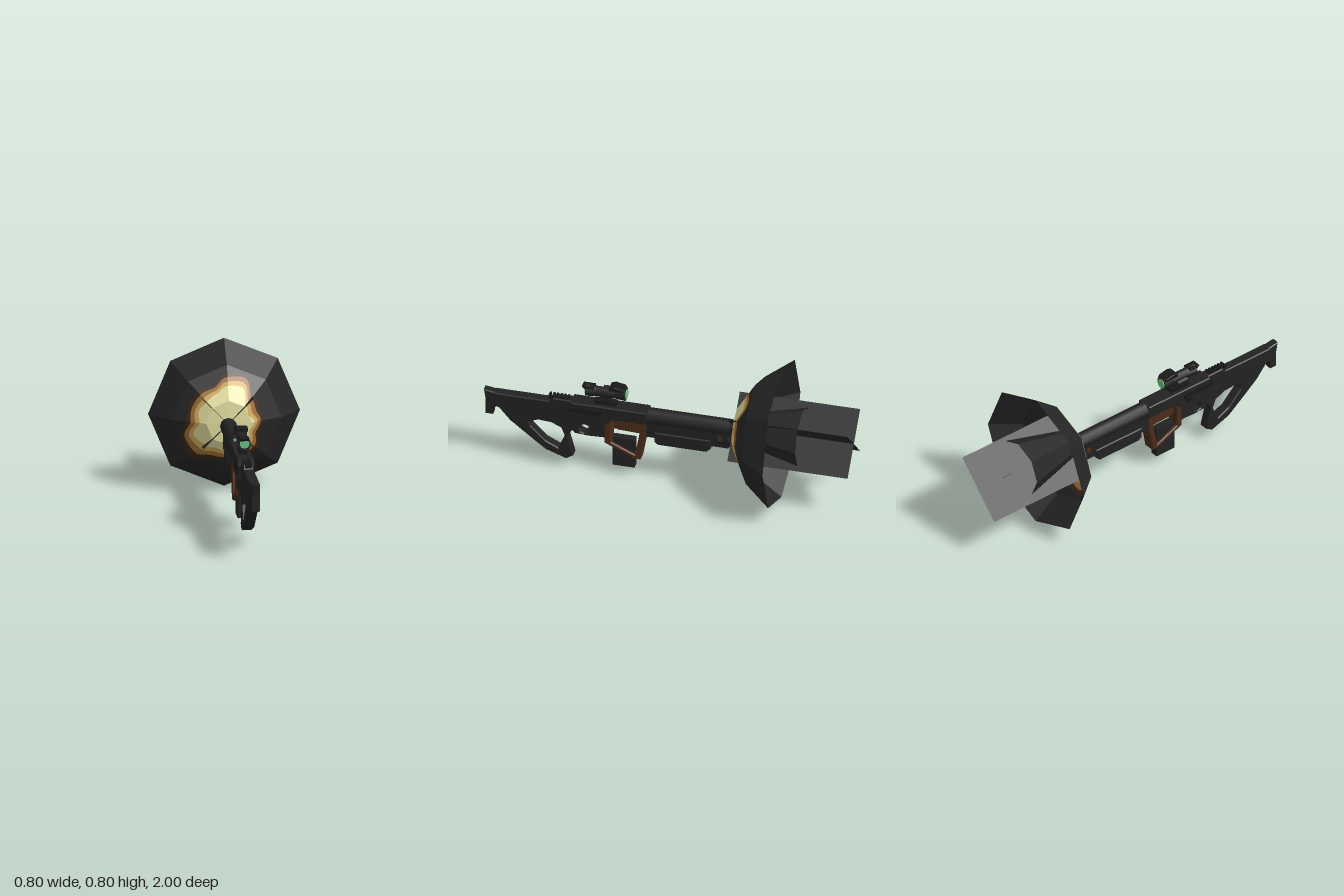
import * as THREE from 'three';

const mat = (name, color, double = false) => {
  const m = new THREE.MeshStandardMaterial({ color });
  m.name = name;
  if (double) m.side = THREE.DoubleSide;
  return m;
};

export function createModel() {
  const M = {
    gun: mat('gunBlack', 0x222222),
    steel: mat('darkSteel', 0x191919),
    wood: mat('darkWood', 0x4a2c1a),
    lens: mat('greenLens', 0x6cc080),
    smoke: mat('flashDark', 0x262626, true),
    ember: mat('flashEmber', 0x3d2816, true),
    brown: mat('flashBrown', 0xa0703a, true),
    gold: mat('flashGold', 0xd2ac5c, true),
    pale: mat('flashPale', 0xe2dea0, true),
  };
  const model = new THREE.Group();
  const gun = new THREE.Group();
  gun.name = 'rifle';
  gun.position.x = -0.006;
  const flash = new THREE.Group();
  flash.name = 'muzzleFlash';
  model.add(gun, flash);

  const add = (parent, name, geo, material) => {
    const mesh = new THREE.Mesh(geo, material);
    mesh.name = name;
    parent.add(mesh);
    return mesh;
  };
  // Box given by its z and y ranges, width and x offset
  const box = (name, z0, z1, y0, y1, w, m = M.gun, x = 0) =>
    add(gun, name, new THREE.BoxGeometry(w, y1 - y0, z1 - z0), m)
      .position.set(x, (y0 + y1) / 2, (z0 + z1) / 2);
  // Side profile in (z, y), extruded across x with a small bevel
  const side = (name, pts, w, m = M.gun, holes = [], b = 0.005) => {
    const vec = (l) => l.map(([z, y]) => new THREE.Vector2(z, y));
    const shape = new THREE.Shape(vec(pts));
    holes.forEach((h) => shape.holes.push(new THREE.Path(vec(h))));
    const geo = new THREE.ExtrudeGeometry(shape, {
      depth: w - 2 * b, bevelEnabled: b > 0, bevelSize: b, bevelThickness: b,
      bevelOffset: -b, bevelSegments: 1,
    });
    geo.translate(0, 0, -(w - 2 * b) / 2).rotateY(-Math.PI / 2);
    return add(gun, name, geo, m);
  };
  // Cylinder along z
  const rod = (name, z0, z1, y, r0, r1, n, m = M.gun, x = 0) => {
    const geo = new THREE.CylinderGeometry(r1, r0, z1 - z0, n).rotateX(Math.PI / 2);
    add(gun, name, geo, m).position.set(x, y, (z0 + z1) / 2);
  };

  // Stock with skeleton opening and pistol grip
  side('stock', [
    [0.94, 0.41], [0.64, 0.41], [0.62, 0.43], [0.5, 0.43], [0.47, 0.3], [0.52, 0.24], [0.54, 0.2],
    [0.51, 0.085], [0.55, 0.06], [0.66, 0.1], [0.75, 0.17], [0.85, 0.25], [0.91, 0.32], [0.94, 0.33],
  ], 0.056, M.gun, [[
    [0.75, 0.26], [0.74, 0.235], [0.66, 0.155], [0.59, 0.12], [0.555, 0.2], [0.575, 0.25], [0.63, 0.275], [0.7, 0.28],
  ]]);
  side('buttPlate', [
    [0.995, 0.42], [0.93, 0.41], [0.92, 0.33], [0.94, 0.31], [0.945, 0.27], [0.985, 0.27], [0.985, 0.36],
  ], 0.046);

  // Receiver and trigger guard
  side('receiver', [
    [0.53, 0.38], [0.52, 0.43], [0.11, 0.43], [0.11, 0.355], [0.3, 0.355], [0.32, 0.33], [0.53, 0.33],
  ], 0.09);
  const ring = [];
  for (let i = 0; i < 8; i++) {
    const a = (i / 8) * Math.PI * 2;
    ring.push([0.45 + 0.03 * Math.cos(a), 0.265 + 0.028 * Math.sin(a)]);
  }
  side('triggerGuard', [
    [0.53, 0.34], [0.31, 0.34], [0.31, 0.23], [0.43, 0.225], [0.5, 0.23], [0.53, 0.26],
  ], 0.06, M.gun, [ring]);
  box('ejectionPort', 0.35, 0.54, 0.375, 0.4, 0.096, M.steel);
  for (let i = 0; i < 6; i++) box('railTooth', 0.535 + i * 0.02, 0.547 + i * 0.02, 0.42, 0.44, 0.035, M.steel);
  box('chargingArm', 0.345, 0.365, 0.382, 0.398, 0.04, M.steel, -0.06);
  box('chargingKnob', 0.34, 0.37, 0.38, 0.4, 0.015, M.steel, -0.08);

  // Wooden foregrip frame and magazine
  side('gripFrame', [
    [0.34, 0.355], [0.115, 0.355], [0.12, 0.27], [0.145, 0.125], [0.18, 0.125], [0.34, 0.2],
  ], 0.07, M.wood, [[[0.305, 0.345], [0.305, 0.21], [0.175, 0.15], [0.15, 0.29], [0.27, 0.295], [0.28, 0.345]]]);
  box('gripBlock', 0.12, 0.29, 0.295, 0.345, 0.05, M.wood);
  box('magazine', 0.18, 0.3, 0.06, 0.235, 0.04);

  // Barrel shroud and handguard
  rod('barrelShroud', -0.34, 0.11, 0.392, 0.044, 0.044, 12);
  rod('muzzleBore', -0.345, -0.33, 0.392, 0.03, 0.03, 12, M.steel);
  box('lowerShroud', -0.33, 0.12, 0.275, 0.36, 0.06);
  rod('underBarrel', -0.335, 0.1, 0.305, 0.032, 0.032, 8, M.steel);
  side('handguard', [
    [0.07, 0.31], [0.07, 0.25], [0.05, 0.235], [-0.21, 0.235], [-0.235, 0.26], [-0.235, 0.31],
  ], 0.072);
  box('handguardPin', -0.295, -0.27, 0.315, 0.345, 0.064, M.wood);

  // Scope
  box('scopeMount', 0.28, 0.4, 0.43, 0.45, 0.04, M.steel);
  box('scopeFoot', 0.31, 0.37, 0.445, 0.49, 0.025);
  rod('scopeTube', 0.25, 0.43, 0.5, 0.027, 0.027, 12);
  rod('scopeEyepiece', 0.39, 0.445, 0.5, 0.028, 0.034, 12);
  rod('scopeObjective', 0.23, 0.29, 0.505, 0.036, 0.03, 12);
  rod('rearLens', 0.444, 0.449, 0.5, 0.026, 0.026, 10, M.lens);
  rod('frontLens', 0.225, 0.23, 0.505, 0.027, 0.027, 10, M.lens);
  side('scopeHood', [[0.465, 0.53], [0.4, 0.53], [0.4, 0.52], [0.45, 0.515]], 0.05, M.steel, [], 0.001);
  side('scopeCap', [[0.315, 0.548], [0.29, 0.555], [0.24, 0.545], [0.23, 0.53], [0.315, 0.53]], 0.064, M.steel, [], 0.002);
  rod('sideTurret', 0.3, 0.36, 0.5, 0.013, 0.013, 8, M.gun, -0.042);
  rod('sideLens', 0.36, 0.364, 0.5, 0.009, 0.009, 8, M.lens, -0.042);

  // Flash bowl: an eight-sided cup whose glow is cut along wavy contours
  const CY = 0.4, STEP = Math.PI / 4;
  const profile = [[0, -0.36], [0.12, -0.37], [0.29, -0.47], [0.4, -0.61]];
  const oct = (a) => {
    const d = (((a % STEP) + STEP) % STEP) - STEP / 2;
    return Math.cos(STEP / 2) / Math.cos(d);
  };
  const depth = (rho) => {
    let i = 1;
    while (i < 3 && rho > profile[i][0]) i++;
    const [r0, z0] = profile[i - 1], [r1, z1] = profile[i];
    return z0 + ((rho - r0) / (r1 - r0)) * (z1 - z0);
  };
  const inner = [65, 52, 60, 92, 90, 77, 75, 78, 72, 92, 82, 72, 76, 85, 68, 55];
  const outer = [87, 84, 92, 123, 118, 97, 105, 103, 103, 124, 128, 106, 98, 108, 102, 82];
  const wave = (list, a) => {
    const t = (a / (Math.PI * 2)) * 16, i = Math.floor(t), f = t - i;
    const k = (1 - Math.cos(f * Math.PI)) / 2;
    return (list[i % 16] * (1 - k) + list[(i + 1) % 16] * k) / 472;
  };
  const contour = (t) => (a) => wave(inner, a) * (1 - t) + wave(outer, a) * t;
  const edges = [() => 0, contour(0), contour(0.35), contour(0.7), contour(1), (a) => 0.4 * oct(a)];
  const names = ['pale', 'gold', 'brown', 'ember', 'smoke'];
  const N = 96;
  names.forEach((key, b) => {
    const pos = [];
    const column = (i) => {
      const a = (i / N) * Math.PI * 2, o = oct(a);
      const lo = edges[b](a), hi = edges[b + 1](a);
      const radii = [lo, ...[0.12, 0.29].map((r) => Math.min(hi, Math.max(lo, r * o))), hi];
      return radii.map((r) => [r * Math.cos(a), CY + r * Math.sin(a), depth(r / o)]);
    };
    for (let i = 0; i < N; i++) {
      const p = column(i), q = column(i + 1);
      for (let j = 0; j < 3; j++) {
        pos.push(...p[j], ...p[j + 1], ...q[j + 1], ...p[j], ...q[j + 1], ...q[j]);
      }
    }
    const geo = new THREE.BufferGeometry();
    geo.setAttribute('position', new THREE.Float32BufferAttribute(pos, 3));
    geo.computeVertexNormals();
    add(flash, key + 'FlashBand', geo, M[key]);
  });

  // Inner flash cone, open towards the back
  const cone = new THREE.CylinderGeometry(0.075, 0.158, 0.34, 8, 1, true).rotateX(Math.PI / 2).toNonIndexed();
  cone.computeVertexNormals();
  add(flash, 'innerFlashCone', cone, M.smoke).position.set(0.005, 0.405, -0.555);

  // Two crossed flash sheets
  for (const s of [-1, 1]) {
    const sheet = add(flash, 'flashSheet', new THREE.PlaneGeometry(0.376, 0.65).rotateX(-Math.PI / 2), M.smoke);
    sheet.rotation.z = (s * Math.PI) / 4;
    sheet.position.set(-0.005, CY, -0.675);
  }
  return model;
}
